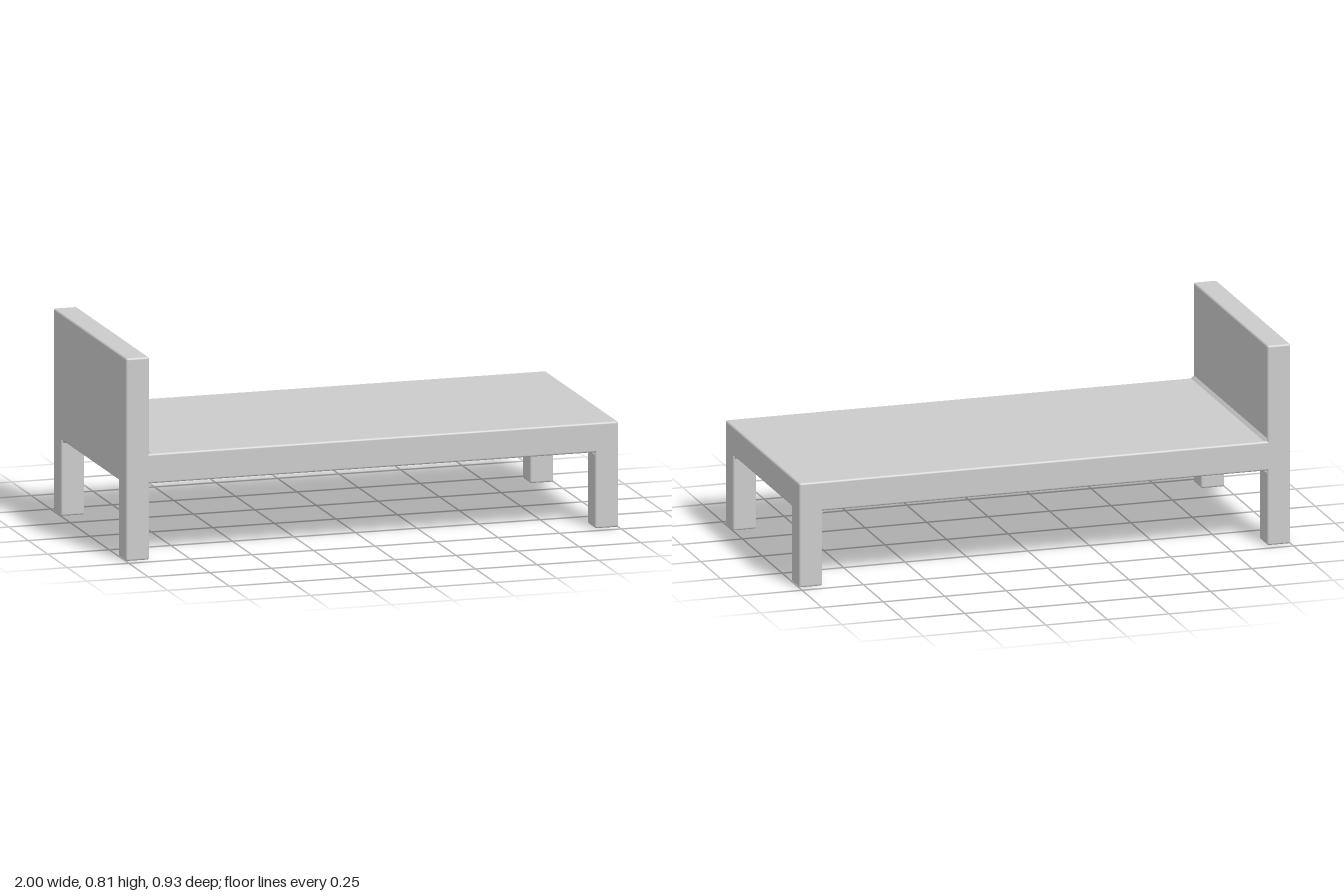
import * as THREE from 'three';
import { RoundedBoxGeometry } from 'three/addons/geometries/RoundedBoxGeometry.js';

const BEVEL = 0.008;   // softened outer edges
const FILLET = 0.012;  // softened inner corners
const HALF_X = 1, HALF_Z = 0.466;
const POST_X = 0.095, POST_Z = 0.1;
const DECK_LOW = 0.302, DECK_TOP = 0.42, HEAD_TOP = 0.805;

const material = new THREE.MeshStandardMaterial({ color: 0xcccccc });

// Softened box given by its minimum and maximum corners
function block(name, min, max) {
  const [w, h, d] = max.map((v, i) => v - min[i]);
  const mesh = new THREE.Mesh(new RoundedBoxGeometry(w, h, d, 2, BEVEL), material);
  mesh.position.set(...max.map((v, i) => (v + min[i]) / 2));
  mesh.name = name;
  return mesh;
}

// Small wedge that fills an inner corner, running along its local z
function fillet(name, length, x, y, z) {
  const shape = new THREE.Shape([
    new THREE.Vector2(0.002, 0.002),
    new THREE.Vector2(-FILLET, 0.002),
    new THREE.Vector2(-FILLET, 0),
    new THREE.Vector2(0, -FILLET),
    new THREE.Vector2(0.002, -FILLET),
  ]);
  const geometry = new THREE.ExtrudeGeometry(shape, { depth: length, bevelEnabled: false });
  geometry.translate(0, 0, -length / 2);
  const mesh = new THREE.Mesh(geometry, material);
  mesh.position.set(x, y, z);
  mesh.name = name;
  return mesh;
}

export function createModel() {
  const bed = new THREE.Group();
  bed.name = 'bed';

  // Sleeping deck and headboard
  bed.add(block('deck', [-HALF_X, DECK_LOW, -HALF_Z], [HALF_X, DECK_TOP, HALF_Z]));
  bed.add(block('headboard', [-HALF_X, DECK_LOW, -HALF_Z], [-HALF_X + POST_X, HEAD_TOP, HALF_Z]));
  const headFillet = fillet('headboardFillet', 2 * (HALF_Z - BEVEL), -HALF_X + POST_X, DECK_TOP, 0);
  headFillet.rotation.z = Math.PI;
  bed.add(headFillet);

  // Four corner legs, running up into the deck so the outer faces join flush
  for (const sx of [-1, 1]) {
    for (const sz of [-1, 1]) {
      const leg = new THREE.Group();
      leg.name = (sx < 0 ? 'head' : 'foot') + (sz < 0 ? 'Back' : 'Front') + 'Leg';
      const xs = [sx * HALF_X, sx * (HALF_X - POST_X)].sort((a, b) => a - b);
      const zs = [sz * HALF_Z, sz * (HALF_Z - POST_Z)].sort((a, b) => a - b);
      const top = sx < 0 ? DECK_TOP + 0.1 : DECK_TOP;
      leg.add(block('post', [xs[0], 0, zs[0]], [xs[1], top, zs[1]]));

      // Inner corners between leg and deck, along both directions
      const midX = sx * (HALF_X - POST_X / 2), midZ = sz * (HALF_Z - POST_Z / 2);
      const sideFillet = fillet('sideFillet', POST_Z - 2 * BEVEL, sx * (HALF_X - POST_X), DECK_LOW, midZ);
      sideFillet.rotation.y = sx > 0 ? 0 : Math.PI;
      const endFillet = fillet('endFillet', POST_X - 2 * BEVEL, midX, DECK_LOW, sz * (HALF_Z - POST_Z));
      endFillet.rotation.y = -sz * Math.PI / 2;
      leg.add(sideFillet, endFillet);
      bed.add(leg);
    }
  }
  return bed;
}
